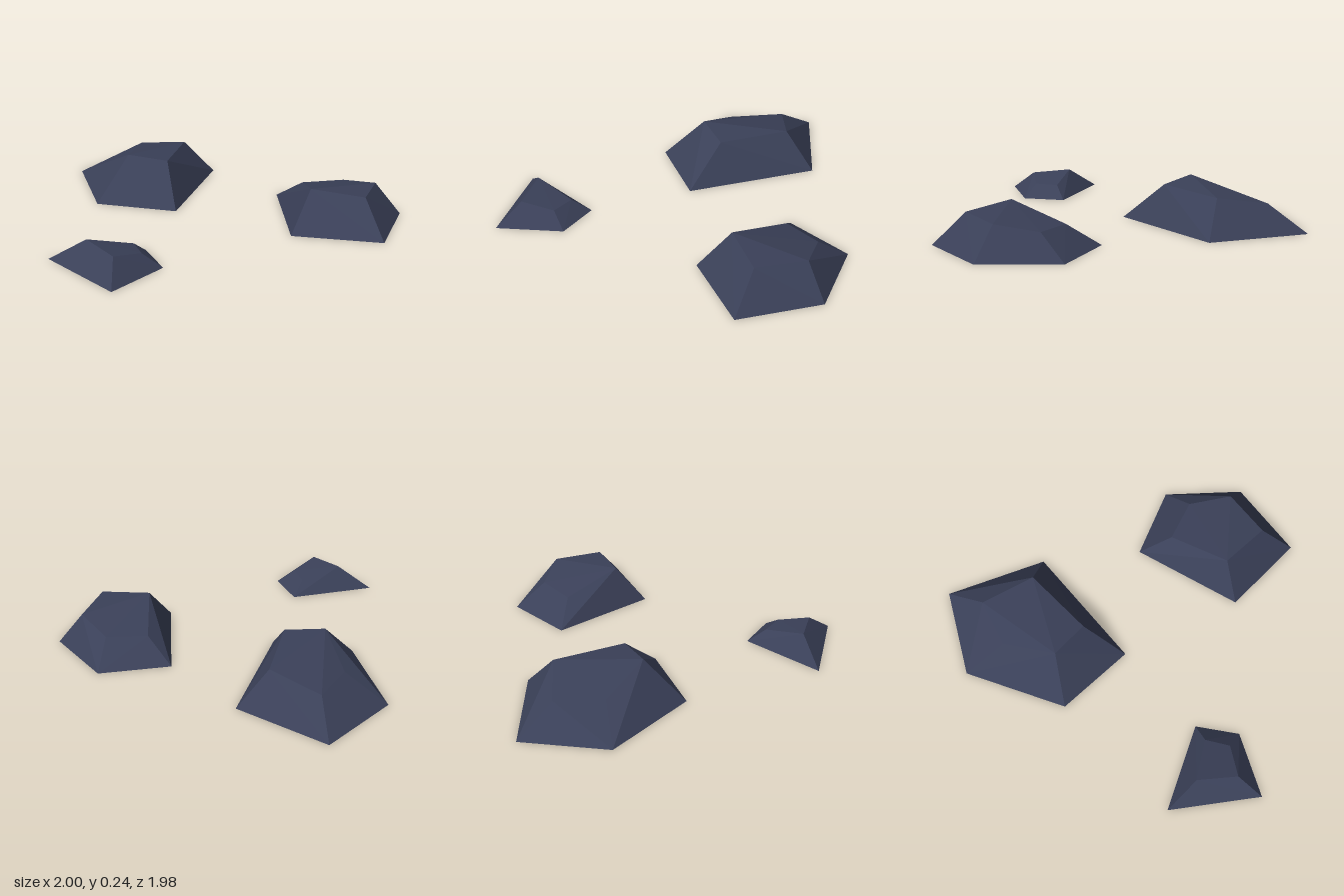
import * as THREE from 'three';
import { ConvexGeometry } from 'three/addons/geometries/ConvexGeometry.js';

// Each rock is a faceted hull between a ground outline [x, z] and a crown [x, y, z].
const ROCKS = [
  {
    name: 'largeRock',
    base: [[-0.37, -0.8], [0.1, -0.99], [0.38, -0.47], [-0.13, 0.09], [-0.49, -0.21]],
    crown: [[-0.21, 0.142, -0.6], [0.02, 0.147, -0.76], [0.19, 0.205, -0.49],
      [-0.07, 0.217, -0.16], [-0.26, 0.242, -0.29]],
  },
  {
    name: 'mediumRock',
    base: [[0.52, 0.09], [0.92, 0.2], [1.0, 0.65], [0.67, 0.985], [0.275, 0.69]],
    crown: [[0.585, 0.125, 0.27], [0.81, 0.133, 0.35], [0.87, 0.18, 0.585],
      [0.67, 0.191, 0.79], [0.44, 0.215, 0.605]],
  },
  {
    name: 'smallRock',
    base: [[-1.0, 0.44], [-0.505, 0.54], [-0.515, 0.79], [-0.855, 0.95]],
    crown: [[-0.84, 0.13, 0.575], [-0.595, 0.075, 0.6], [-0.61, 0.077, 0.74],
      [-0.785, 0.113, 0.8]],
  },
];

function makeRock({ name, base, crown }, material) {
  const points = [
    ...base.map(([x, z]) => new THREE.Vector3(x, 0, z)),
    ...crown.map(([x, y, z]) => new THREE.Vector3(x, y, z)),
  ];
  const rock = new THREE.Mesh(new ConvexGeometry(points), material);
  rock.name = name;
  return rock;
}

export function createModel() {
  const slate = new THREE.MeshStandardMaterial({ color: 0x3a4058 });
  slate.name = 'slate blue stone';

  const group = new THREE.Group();
  group.name = 'rockCluster';
  for (const rock of ROCKS) group.add(makeRock(rock, slate));
  return group;
}
